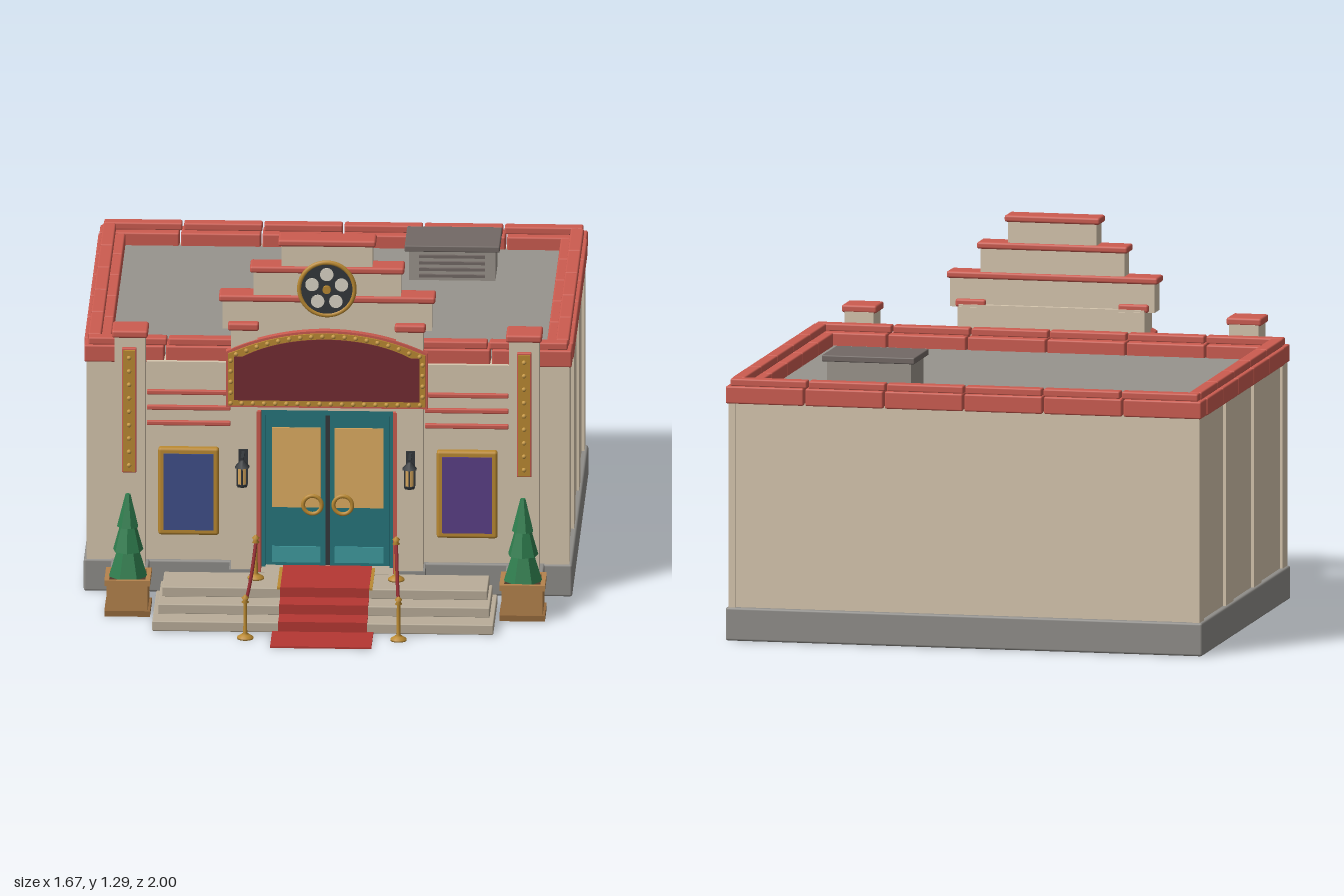
import * as THREE from 'three';
import { RoundedBoxGeometry } from 'three/addons/geometries/RoundedBoxGeometry.js';

const mat = (color, extra = {}) => new THREE.MeshStandardMaterial({ color, ...extra });
const M = {
  wall: mat(0xd6c6ae), trim: mat(0xcc5c50), base: mat(0x8f8d89), roof: mat(0x97948d),
  step: mat(0xb9ad99), carpet: mat(0xb53733), gold: mat(0xbb8a32), bulb: mat(0xc99a45),
  sign: mat(0x742c33), teal: mat(0x27767d), tealLight: mat(0x3f9c9f), glass: mat(0xdfae62),
  blue: mat(0x3f4f8a), purple: mat(0x5b3f87), dark: mat(0x34383b), cream: mat(0xdcd6c8),
  wood: mat(0xb5834c), woodDark: mat(0x94693c), soil: mat(0x4d3a2a),
  leaf: mat(0x2f7d4e, { flatShading: true }), vent: mat(0x726965), ventBody: mat(0x9b948c), rope: mat(0x8c2b30),
};

export function createModel() {
  const root = new THREE.Group();
  root.name = 'cinema';

  const add = (name, geo, m, x = 0, y = 0, z = 0, parent = root) => {
    const mesh = new THREE.Mesh(geo, m);
    mesh.name = name;
    mesh.position.set(x, y, z);
    parent.add(mesh);
    return mesh;
  };
  // Box given by its min and max on each axis; r rounds the edges
  const box = (name, m, x0, x1, y0, y1, z0, z1, r = 0, parent = root) => {
    const s = [x1 - x0, y1 - y0, z1 - z0];
    const geo = r ? new RoundedBoxGeometry(...s, 2, r) : new THREE.BoxGeometry(...s);
    return add(name, geo, m, (x0 + x1) / 2, (y0 + y1) / 2, (z0 + z1) / 2, parent);
  };
  // The same box on the left and right
  const pair = (name, m, x0, x1, ...rest) => {
    box(name, m, x0, x1, ...rest);
    box(name, m, -x1, -x0, ...rest);
  };
  const bulb = (x, y, z) => add('bulb', new THREE.SphereGeometry(0.008, 8, 6), M.bulb, x, y, z);

  // Main hall, plinth and roof
  box('plinth', M.base, -0.835, 0.835, 0, 0.115, -0.99, 0.38, 0.008);
  box('hallWalls', M.wall, -0.815, 0.815, 0.11, 0.825, -0.975, 0.37);
  box('roof', M.roof, -0.76, 0.76, 0.82, 0.835, -0.92, 0.3);
  for (const [z0, z1] of [[0.3, 0.375], [-0.145, -0.03], [-0.58, -0.465], [-0.985, -0.915]])
    pair('sidePilaster', M.wall, 0.8, 0.825, 0.115, 0.822, z0, z1);
  pair('frontCorner', M.wall, 0.74, 0.824, 0.115, 0.822, 0.3, 0.378);

  // Parapet: a lower ring of blocks and a thinner coping on top
  const ring = (name, X, w, y0, y1, zb, zf) => {
    const n = 6, g = 0.003, dx = 2 * X / n, dz = (zf - zb - 2 * w) / 5;
    for (let i = 0; i < n; i++)
      for (const z of [zb, zf - w])
        box(name, M.trim, -X + i * dx + g, -X + (i + 1) * dx - g, y0, y1, z, z + w, 0.006);
    for (let i = 0; i < 5; i++)
      pair(name, M.trim, X - w, X, y0, y1, zb + w + i * dz + g, zb + w + (i + 1) * dz - g, 0.006);
  };
  ring('cornice', 0.836, 0.092, 0.82, 0.88, -0.997, 0.378);
  ring('coping', 0.822, 0.045, 0.878, 0.905, -0.985, 0.368);

  // Roof ventilation unit
  box('ventBody', M.ventBody, 0.24, 0.535, 0.83, 0.942, -0.745, -0.55);
  box('ventLid', M.vent, 0.225, 0.55, 0.94, 0.962, -0.76, -0.535, 0.004);
  for (let i = 0; i < 4; i++)
    box('ventLouvre', M.vent, 0.275, 0.5, 0.848 + i * 0.023, 0.858 + i * 0.023, -0.56, -0.539);

  // Front piers
  pair('outerPierBase', M.base, 0.61, 0.74, 0, 0.115, 0.37, 0.48, 0.006);
  pair('outerPier', M.wall, 0.622, 0.725, 0.11, 0.942, 0.365, 0.472);
  pair('outerPierCap', M.trim, 0.612, 0.735, 0.938, 0.965, 0.365, 0.48, 0.008);
  pair('innerPierBase', M.base, 0.235, 0.335, 0, 0.115, 0.37, 0.478);
  pair('innerPier', M.wall, 0.237, 0.328, 0.11, 0.972, 0.36, 0.472);
  pair('innerPierCap', M.trim, 0.232, 0.338, 0.97, 0.998, 0.37, 0.485, 0.008);

  // Bulb strips on the outer piers
  pair('bulbStripBack', M.trim, 0.65, 0.7, 0.46, 0.905, 0.47, 0.488, 0.004);
  pair('bulbStrip', M.gold, 0.655, 0.695, 0.466, 0.899, 0.48, 0.496);
  for (const s of [-1, 1])
    for (let i = 0; i < 9; i++) bulb(s * 0.675, 0.49 + i * 0.048, 0.499);

  // Banded panels between the piers, and poster cases
  pair('bandPanel', M.wall, 0.33, 0.62, 0.565, 0.83, 0.36, 0.395);
  for (const y of [0.605, 0.66, 0.715])
    pair('bandStrip', M.trim, 0.332, 0.618, y, y + 0.016, 0.37, 0.408, 0.004);
  for (const s of [-1, 1]) {
    const x = s * 0.476;
    box('posterFrame', M.gold, x - 0.104, x + 0.104, 0.208, 0.52, 0.36, 0.393, 0.01);
    box('poster', s < 0 ? M.blue : M.purple, x - 0.085, x + 0.085, 0.228, 0.5, 0.37, 0.397);
  }

  // Stepped gable
  box('gableWall', M.wall, -0.325, 0.325, 0.68, 0.98, 0.365, 0.455);
  for (const [w, y0, y1] of [[0.358, 0.97, 1.068], [0.252, 1.085, 1.172], [0.155, 1.19, 1.268]]) {
    box('gableTier', M.wall, -w, w, y0, y1, 0.382, 0.455);
    box('gableCap', M.trim, -w - 0.012, w + 0.012, y1, y1 + 0.024, 0.374, 0.465, 0.008);
  }

  // Film reel
  const reel = new THREE.Group();
  reel.name = 'reel';
  reel.position.set(0, 1.122, 0.455);
  root.add(reel);
  const disc = (name, r, d, m, x, y) => {
    add(name, new THREE.CylinderGeometry(r, r, d, 32), m, x, y, d / 2, reel).rotation.x = Math.PI / 2;
  };
  disc('reelDisc', 0.094, 0.022, M.dark, 0, 0);
  add('reelRim', new THREE.TorusGeometry(0.094, 0.008, 8, 48), M.gold, 0, 0, 0.018, reel);
  disc('reelHub', 0.014, 0.034, M.gold, 0, 0);
  for (let i = 0; i < 5; i++) {
    const a = Math.PI / 2 + i * Math.PI * 0.4;
    disc('reelHole', 0.023, 0.026, M.cream, 0.053 * Math.cos(a), 0.053 * Math.sin(a));
  }

  // Arched marquee sign in three layers, with bulbs round the border
  const signShape = (d) => {
    const s = new THREE.Shape();
    s.moveTo(-0.345 + d, 0.698 + d);
    s.lineTo(0.345 - d, 0.698 + d);
    s.lineTo(0.345 - d, 0.895 - d * 0.5);
    s.lineTo(0.315 - d, 0.91 - d);
    s.quadraticCurveTo(0.17, 0.972 - d, 0, 0.974 - d);
    s.quadraticCurveTo(-0.17, 0.972 - d, -0.315 + d, 0.91 - d);
    s.lineTo(-0.345 + d, 0.895 - d * 0.5);
    s.closePath();
    return s;
  };
  const signLayer = (name, d, depth, m) => add(name, new THREE.ExtrudeGeometry(signShape(d),
    { depth, bevelEnabled: false, curveSegments: 14 }), m, 0, 0, 0.452);
  signLayer('marqueeBack', 0, 0.03, M.trim);
  signLayer('marqueeBorder', 0.008, 0.038, M.gold);
  signLayer('marqueePanel', 0.028, 0.042, M.sign);
  for (const p of signShape(0.017).getSpacedPoints(44)) bulb(p.x, p.y, 0.493);

  // Doorway and double doors
  pair('doorReveal', M.trim, 0.226, 0.24, 0.105, 0.68, 0.37, 0.474);
  box('doorSill', M.step, -0.24, 0.24, 0.085, 0.105, 0.37, 0.48);
  box('doorFrame', M.teal, -0.23, 0.23, 0.105, 0.672, 0.36, 0.382);
  box('doorHead', M.teal, -0.23, 0.23, 0.648, 0.672, 0.37, 0.41);
  pair('doorPost', M.teal, 0.212, 0.23, 0.105, 0.66, 0.37, 0.41);
  box('doorGap', M.dark, -0.01, 0.01, 0.105, 0.648, 0.37, 0.385);
  pair('doorLeaf', M.teal, 0.008, 0.21, 0.107, 0.645, 0.37, 0.394);
  pair('doorGlass', M.glass, 0.024, 0.19, 0.315, 0.6, 0.38, 0.399);
  pair('doorKickPlate', M.tealLight, 0.024, 0.19, 0.118, 0.175, 0.38, 0.399);
  for (const s of [-1, 1])
    add('doorHandle', new THREE.TorusGeometry(0.032, 0.007, 8, 28), M.gold, s * 0.052, 0.327, 0.406);

  // Steps and carpet
  box('topStep', M.step, -0.556, 0.556, 0.068, 0.104, 0.475, 0.65, 0.004);
  box('middleStep', M.step, -0.567, 0.567, 0.034, 0.07, 0.475, 0.738, 0.004);
  box('bottomStep', M.step, -0.583, 0.583, 0, 0.036, 0.475, 0.825, 0.004);
  pair('carpetTrim', M.gold, 0.148, 0.163, 0.1, 0.107, 0.42, 0.652);
  box('carpetTop', M.carpet, -0.152, 0.152, 0.1, 0.109, 0.4, 0.656);
  box('carpetMiddle', M.carpet, -0.152, 0.152, 0.066, 0.075, 0.64, 0.744);
  box('carpetBottom', M.carpet, -0.152, 0.152, 0.032, 0.041, 0.73, 0.832);
  for (const [y, z] of [[0.07, 0.65], [0.036, 0.738], [0, 0.825]])
    box('carpetRiser', M.carpet, -0.152, 0.152, y, y + 0.038, z, z + 0.006);
  box('carpetGround', M.carpet, -0.173, 0.173, 0, 0.006, 0.825, 1);

  // Rope barriers, wall lanterns and potted trees on both sides
  const postProfile = [[0, 0], [0.028, 0], [0.028, 0.006], [0.016, 0.014], [0.007, 0.02], [0.006, 0.125],
    [0.013, 0.13], [0.007, 0.137], [0.013, 0.146], [0, 0.158]].map(p => new THREE.Vector2(...p));
  for (const s of [-1, 1]) {
    add('barrierPost', new THREE.LatheGeometry(postProfile, 16), M.gold, s * 0.262, 0, 0.895);
    add('barrierPost', new THREE.LatheGeometry(postProfile, 16), M.gold, s * 0.24, 0.104, 0.543);
    const path = new THREE.QuadraticBezierCurve3(new THREE.Vector3(s * 0.262, 0.13, 0.895),
      new THREE.Vector3(s * 0.251, 0.125, 0.72), new THREE.Vector3(s * 0.24, 0.234, 0.543));
    add('barrierRope', new THREE.TubeGeometry(path, 20, 0.006, 8), M.rope);

    const lx = s * 0.286, lz = 0.553;
    box('lanternPlate', M.dark, lx - 0.016, lx + 0.016, 0.48, 0.545, 0.468, 0.48);
    box('lanternArm', M.dark, lx - 0.005, lx + 0.005, 0.53, 0.54, 0.475, lz + 0.005);
    add('lanternRoof', new THREE.CylinderGeometry(0.006, 0.028, 0.025, 6), M.dark, lx, 0.518, lz);
    add('lanternGlass', new THREE.CylinderGeometry(0.02, 0.016, 0.062, 6), M.glass, lx, 0.475, lz);
    add('lanternFoot', new THREE.CylinderGeometry(0.022, 0.018, 0.01, 6), M.dark, lx, 0.441, lz);
    for (let i = 0; i < 6; i++) {
      const a = i * Math.PI / 3;
      add('lanternBar', new THREE.BoxGeometry(0.005, 0.066, 0.005), M.dark,
        lx + 0.019 * Math.sin(a), 0.475, lz + 0.019 * Math.cos(a));
    }

    const px = s * 0.675, pz = 0.586;
    const pot = (name, m, h, y0, y1, r = 0) => box(name, m, px - h, px + h, y0, y1, pz - h, pz + h, r);
    pot('planterBox', M.wood, 0.07, 0.012, 0.118);
    pot('planterSoil', M.soil, 0.062, 0.11, 0.122);
    for (const k of [-1, 1]) {
      box('planterRim', M.wood, px - 0.077, px + 0.077, 0.108, 0.128, pz + k * 0.07 - 0.008, pz + k * 0.07 + 0.008);
      box('planterRim', M.wood, px + k * 0.07 - 0.008, px + k * 0.07 + 0.008, 0.108, 0.128, pz - 0.077, pz + 0.077);
      box('planterFoot', M.woodDark, px - 0.078, px + 0.078, 0, 0.02, pz + k * 0.07 - 0.008, pz + k * 0.07 + 0.008);
      box('planterFoot', M.woodDark, px + k * 0.07 - 0.008, px + k * 0.07 + 0.008, 0, 0.02, pz - 0.078, pz + 0.078);
    }
    for (const [r0, r1, y0, y1] of [[0.068, 0.03, 0.125, 0.245], [0.053, 0.022, 0.215, 0.325], [0.038, 0.009, 0.3, 0.415]])
      add('treeTier', new THREE.CylinderGeometry(r1, r0, y1 - y0, 7), M.leaf, px, (y0 + y1) / 2, pz).rotation.y = y0 * 4;
  }
  return root;
}
